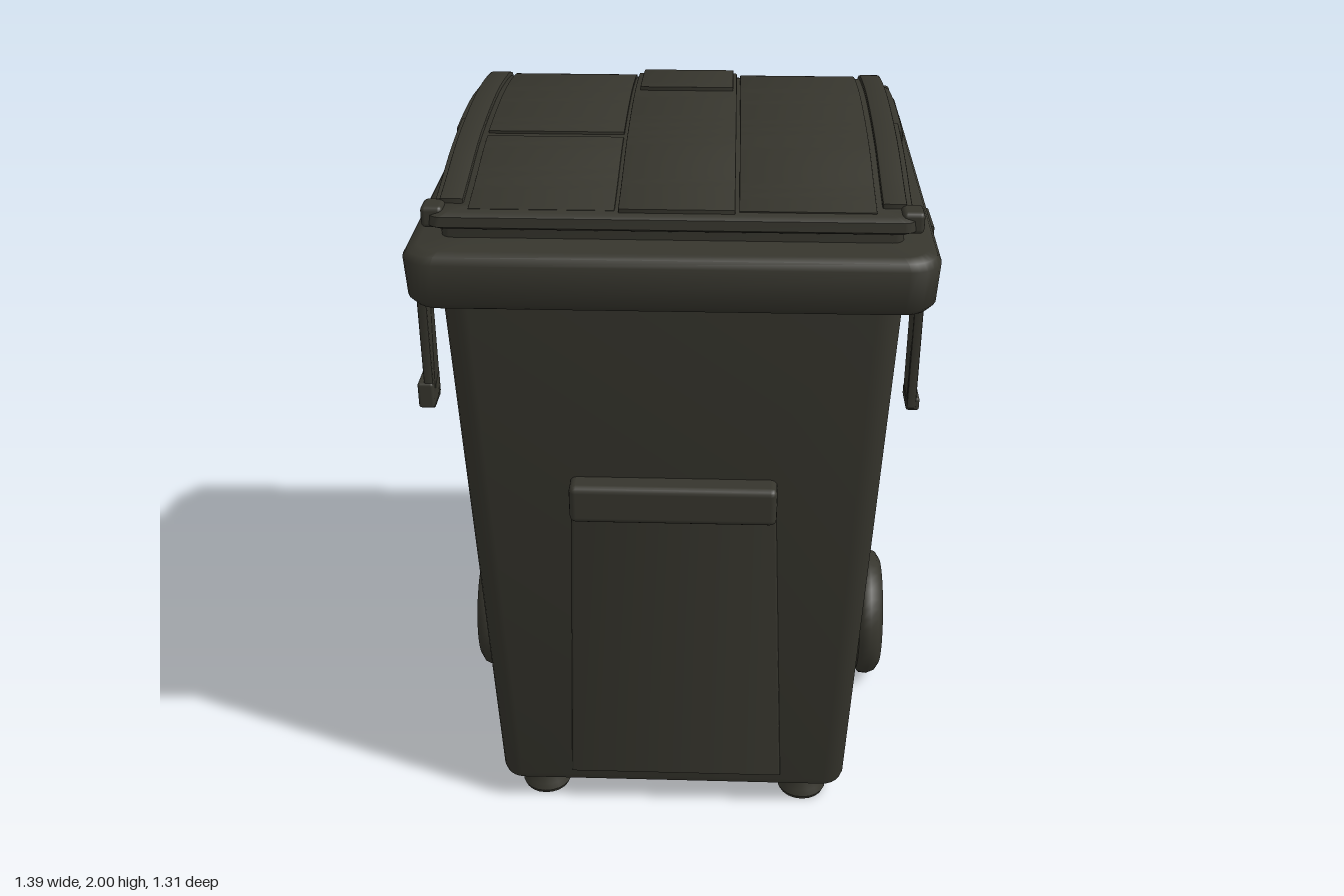
import * as THREE from 'three';
import { toCreasedNormals } from 'three/addons/utils/BufferGeometryUtils.js';
import { RoundedBoxGeometry } from 'three/addons/geometries/RoundedBoxGeometry.js';

export function createModel() {
  const model = new THREE.Group();
  model.name = 'wheelieBin';
  const plastic = new THREE.MeshStandardMaterial({ color: 0x36352d });
  plastic.name = 'darkOlivePlastic';

  function add(name, geometry, parent = model) {
    const mesh = new THREE.Mesh(geometry, plastic);
    mesh.name = name;
    parent.add(mesh);
    return mesh;
  }

  // Loft through rounded rectangles, listed upwards as [y, x0, x1, z0, z1, radius]
  function loft(rings, crease = 0.6) {
    const steps = 6, n = 4 * (steps + 1), pos = [], index = [];
    for (const [y, x0, x1, z0, z1, r] of rings) {
      const corners = [[x1 - r, z1 - r], [x0 + r, z1 - r], [x0 + r, z0 + r], [x1 - r, z0 + r]];
      corners.forEach(([cx, cz], q) => {
        for (let s = 0; s <= steps; s++) {
          const a = (q + s / steps) * Math.PI / 2;
          pos.push(cx + r * Math.cos(a), y, cz + r * Math.sin(a));
        }
      });
    }
    const last = rings.length - 1;
    for (let i = 0; i < last; i++) for (let j = 0; j < n; j++) {
      const k = (j + 1) % n, a = i * n + j, b = i * n + k;
      index.push(a, a + n, b, b, a + n, b + n);
    }
    [0, last].forEach((ring, end) => {
      const [y, x0, x1, z0, z1] = rings[ring];
      const centre = pos.length / 3;
      pos.push((x0 + x1) / 2, y, (z0 + z1) / 2);
      for (let j = 0; j < n; j++) {
        const a = ring * n + j, b = ring * n + (j + 1) % n;
        if (end) index.push(centre, b, a); else index.push(centre, a, b);
      }
    });
    const g = new THREE.BufferGeometry();
    g.setAttribute('position', new THREE.Float32BufferAttribute(pos, 3));
    g.setIndex(index);
    return toCreasedNormals(g, crease);
  }

  function block(name, x0, x1, y0, y1, z0, z1, r = 0.01) {
    const g = new RoundedBoxGeometry(x1 - x0, y1 - y0, z1 - z0, 2, r);
    g.translate((x0 + x1) / 2, (y0 + y1) / 2, (z0 + z1) / 2);
    return add(name, g);
  }

  // Extrude a side outline given in (z, y) from x0 to x1
  function sideExtrude(name, points, x0, x1, bevel = 0.006) {
    const shape = new THREE.Shape(points.map(([z, y]) => new THREE.Vector2(z, y)));
    const g = new THREE.ExtrudeGeometry(shape, {
      depth: x1 - x0 - 2 * bevel, bevelEnabled: bevel > 0, bevelThickness: bevel,
      bevelSize: bevel, bevelOffset: -bevel, bevelSegments: 2,
    });
    g.rotateY(-Math.PI / 2);
    g.translate(x1 - bevel, 0, 0);
    return add(name, toCreasedNormals(g, 0.6));
  }

  // Tapered tub
  add('body', loft([
    [0.08, -0.49, 0.49, -0.45, 0.505, 0.05],
    [0.09, -0.505, 0.505, -0.465, 0.52, 0.06],
    [0.11, -0.51, 0.51, -0.472, 0.526, 0.06],
    [1.70, -0.582, 0.582, -0.566, 0.563, 0.07],
  ]));
  add('frontPanel', loft([
    [0.13, -0.30, 0.32, 0.50, 0.533, 0.006],
    [1.06, -0.27, 0.28, 0.52, 0.555, 0.006],
  ]));
  add('backPanel', loft([
    [0.13, -0.31, 0.33, -0.482, -0.45, 0.006],
    [1.66, -0.35, 0.37, -0.57, -0.53, 0.006],
  ]));
  block('frontGrip', -0.27, 0.28, 1.05, 1.16, 0.53, 0.612, 0.018);

  // Collar around the top
  add('rim', loft([
    [1.68, -0.57, 0.57, -0.56, 0.56, 0.06],
    [1.682, -0.635, 0.635, -0.635, 0.635, 0.07],
    [1.70, -0.65, 0.65, -0.652, 0.65, 0.08],
    [1.80, -0.656, 0.656, -0.658, 0.652, 0.08],
    [1.818, -0.645, 0.645, -0.648, 0.643, 0.075],
    [1.826, -0.62, 0.62, -0.625, 0.62, 0.06],
  ], 0.9));
  add('rearLip', loft([
    [1.65, -0.59, 0.59, -0.585, -0.40, 0.05],
    [1.663, -0.612, 0.612, -0.605, -0.32, 0.06],
    [1.69, -0.612, 0.612, -0.605, -0.30, 0.06],
  ]));

  // Lid base and flange
  add('lidSeat', loft([
    [1.82, -0.57, 0.57, -0.53, 0.53, 0.03],
    [1.87, -0.57, 0.57, -0.53, 0.53, 0.03],
  ]));
  add('lidFlange', loft([
    [1.852, -0.585, 0.585, -0.535, 0.54, 0.03],
    [1.86, -0.597, 0.597, -0.54, 0.552, 0.03],
    [1.885, -0.594, 0.594, -0.535, 0.55, 0.03],
    [1.895, -0.575, 0.575, -0.52, 0.535, 0.03],
  ]));

  // Arched lid panels follow one curve
  const crown = new THREE.SplineCurve([
    [0.54, 1.893], [0.4, 1.917], [0.2, 1.956], [0, 1.975],
    [-0.2, 1.98], [-0.38, 1.967], [-0.47, 1.95], [-0.52, 1.925],
  ].map(([z, y]) => new THREE.Vector2(z, y))).getPoints(56);
  function archPanel(name, x0, x1, z0, z1, lift, thickness, bevel) {
    const arc = crown.filter(p => p.x >= z0 - 1e-6 && p.x <= z1 + 1e-6);
    const top = arc.map(p => [p.x, p.y + lift]);
    const bottom = arc.map(p => [p.x, thickness ? p.y + lift - thickness : 1.86]).reverse();
    return sideExtrude(name, [...top, ...bottom], x0, x1, bevel);
  }
  archPanel('lid', -0.568, 0.568, -0.52, 0.54, -0.006, 0, 0.004);
  archPanel('lidCentrePanel', -0.13, 0.155, -0.42, 0.53, 0.01, 0.03, 0.003);
  archPanel('lidCentreRidge', -0.115, 0.145, -0.42, -0.17, 0.02, 0.03, 0.003);
  archPanel('lidLeftPanel', 0.165, 0.50, -0.46, 0.525, 0.001, 0.03, 0.002);
  archPanel('lidRightRearPanel', -0.50, -0.14, -0.46, 0.13, 0.001, 0.03, 0.002);
  archPanel('lidRightFrontPanel', -0.50, -0.14, 0.14, 0.525, -0.001, 0.03, 0.002);

  for (const s of [-1, 1]) {
    const span = (a, b) => (s > 0 ? [a, b] : [-b, -a]);
    // Raised lid edges, side rails and corner ears
    archPanel('lidEdge', ...span(0.515, 0.575), -0.50, 0.50, 0.006, 0.04, 0.006);
    archPanel('sideRail', ...span(0.56, 0.604), -0.49, 0.03, -0.03, 0.035, 0.008);
    archPanel('lowerSideRail', ...span(0.56, 0.592), 0.0, 0.52, -0.015, 0.025, 0.006);
    block('sideGrip', ...span(0.56, 0.608), 1.915, 1.942, -0.30, -0.08, 0.01);
    for (const z of [-0.515, 0.50]) block('cornerEar', ...span(0.56, 0.615), 1.85, 1.905, z - 0.035, z + 0.035, 0.012);

    // Feet
    for (const z of [0.42, -0.37]) {
      const foot = new THREE.LatheGeometry([[0, 0], [0.068, 0], [0.073, 0.012], [0.066, 0.03],
        [0.052, 0.06], [0.05, 0.09], [0, 0.09]].map(p => new THREE.Vector2(...p)), 20);
      foot.translate(s * 0.39, 0, z);
      add('foot', toCreasedNormals(foot, 0.6));
    }

    // Wheel, built along +x from the tub
    const wheel = new THREE.Group();
    wheel.name = 'wheel';
    wheel.position.set(s * 0.6, 0.217, -0.195);
    wheel.rotation.y = s > 0 ? 0 : Math.PI;
    model.add(wheel);
    const tyre = new THREE.LatheGeometry([[0.13, -0.045], [0.155, -0.058], [0.18, -0.055], [0.192, -0.03],
      [0.193, -0.015], [0.205, -0.005], [0.208, 0.02], [0.198, 0.045], [0.175, 0.06], [0.15, 0.055],
      [0.13, 0.03], [0.13, -0.045]].map(p => new THREE.Vector2(...p)), 40);
    tyre.rotateZ(-Math.PI / 2);
    add('tyre', toCreasedNormals(tyre, 0.8), wheel);
    const disc = new THREE.Shape().absarc(0, 0, 0.14, 0, Math.PI * 2);
    for (let i = 0; i < 7; i++) {
      const a = i / 7 * Math.PI * 2;
      disc.holes.push(new THREE.Path().absarc(Math.cos(a) * 0.092, Math.sin(a) * 0.092, 0.017, 0, Math.PI * 2, true));
    }
    const discGeometry = new THREE.ExtrudeGeometry(disc, { depth: 0.04, bevelEnabled: false, curveSegments: 20 });
    discGeometry.rotateY(Math.PI / 2);
    discGeometry.translate(-0.01, 0, 0);
    add('wheelDisc', toCreasedNormals(discGeometry, 0.6), wheel);
    const hub = new THREE.CylinderGeometry(0.045, 0.06, 0.16, 24);
    hub.rotateZ(-Math.PI / 2);
    hub.translate(-0.033, 0, 0);
    add('hub', hub, wheel);
  }

  // Side latches: hanging strap with a short arm below the collar
  function strap(name, x0, x1, z0, z1, bottom, arm) {
    sideExtrude(name, [[z0, bottom + 0.01], [z0 + 0.01, bottom], [z1 - 0.01, bottom], [z1, bottom + 0.01],
      [z1, 1.68], [z1 + 0.01, 1.70], [z1 + arm, 1.715], [z1 + arm, 1.75], [z0 + 0.03, 1.745],
      [z0 + 0.008, 1.73], [z0, 1.70]], x0, x1, 0.005);
  }
  strap('leftStrap', 0.656, 0.682, 0.04, 0.15, 1.16, 0.07);
  block('leftStrapEnd', 0.654, 0.692, 1.16, 1.20, 0.042, 0.148, 0.008);
  block('leftStrapMount', 0.63, 0.685, 1.61, 1.74, 0.05, 0.14, 0.01);
  strap('rightStrap', -0.682, -0.656, 0.26, 0.355, 1.25, 0.02);
  block('rightStrapEnd', -0.70, -0.656, 1.255, 1.33, 0.255, 0.36, 0.008);
  block('rightStrapMount', -0.685, -0.63, 1.61, 1.74, 0.27, 0.345, 0.01);
  block('rightStrapArm', -0.674, -0.645, 1.71, 1.75, 0.06, 0.30, 0.008);

  return model;
}
